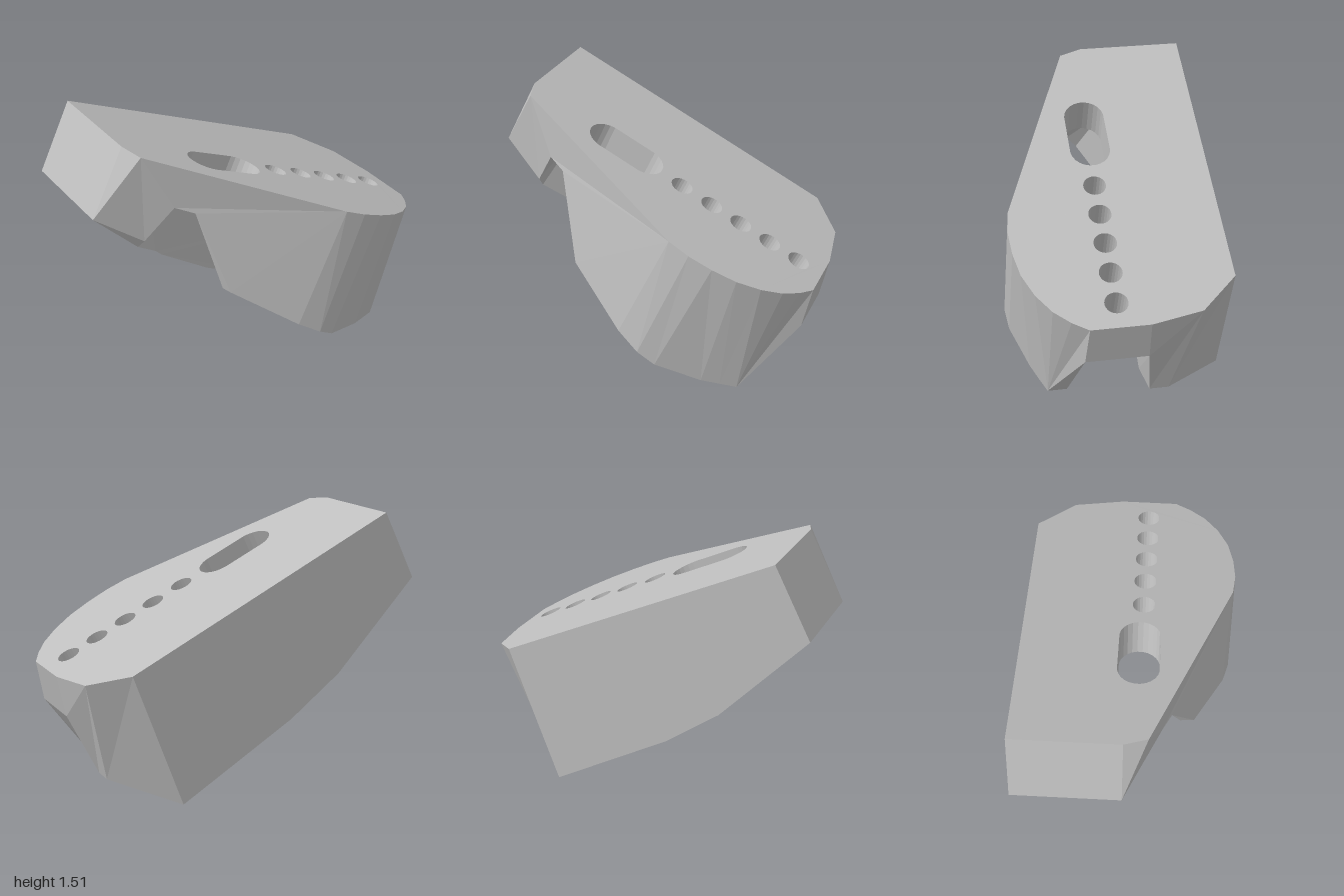
import * as THREE from 'three';

const V = (x, y, z) => new THREE.Vector3(x, y, z);
const BACK = -0.605, THICK = 0.235, SIN = 0.423, COS = 0.906;

// Points on the sloping deck and on the channel ceiling below it
const top = (x, z) => V(x, 1.51 - 0.467 * (x + 0.8), z);
const ceil = (x, z) => V(x, 1.25 - 0.467 * (x + 0.8), z);
const deckPoint = (s, z, d) => V(-0.8 + s * COS - d * SIN, 1.51 - s * SIN - d * COS, z);

// Collects flat faces; each face is turned to look along "out"
class Part {
  constructor() { this.pos = []; }

  face(pts, out, holes = []) {
    const n = V(0, 0, 0);
    pts.forEach((p, i) => n.add(p.clone().cross(pts[(i + 1) % pts.length])));
    n.normalize();
    const u = (Math.abs(n.y) > 0.9 ? V(1, 0, 0) : V(0, 1, 0)).cross(n).normalize();
    const v = n.clone().cross(u);
    const flat = (list) => list.map((p) => new THREE.Vector2(p.dot(u), p.dot(v)));
    const all = [pts, ...holes].flat();
    for (const [a, b, c] of THREE.ShapeUtils.triangulateShape(flat(pts), holes.map(flat))) {
      const A = all[a], B = all[b], C = all[c];
      const normal = B.clone().sub(A).cross(C.clone().sub(A));
      const order = normal.dot(out) < 0 ? [A, C, B] : [A, B, C];
      order.forEach((p) => this.pos.push(p.x, p.y, p.z));
    }
  }

  // Outer face that looks away from the middle of the body
  outer(...pts) {
    const mid = pts.reduce((m, p) => m.add(p), V(0, 0, 0)).divideScalar(pts.length);
    this.face(pts, mid.sub(V(0.1, 0.6, 0)));
  }

  // Wall of a hole between two rims, facing the axis
  bore(a, b) {
    const centre = [...a, ...b].reduce((m, p) => m.add(p), V(0, 0, 0)).divideScalar(a.length * 2);
    a.forEach((p, i) => {
      const j = (i + 1) % a.length;
      const mid = p.clone().add(a[j]).add(b[i]).add(b[j]).divideScalar(4);
      this.face([p, a[j], b[j], b[i]], centre.clone().sub(mid));
    });
  }

  mesh(name, material) {
    const g = new THREE.BufferGeometry();
    g.setAttribute('position', new THREE.Float32BufferAttribute(this.pos, 3));
    g.computeVertexNormals();
    const m = new THREE.Mesh(g, material);
    m.name = name;
    return m;
  }
}

// Rim of a round hole or slot, in the deck's own plane
function deckRim(s0, s1, z, r, d) {
  const n = 24, pts = [];
  for (let i = 0; i < n; i++) {
    const a = ((i + 0.5) / n) * Math.PI * 2;
    pts.push(deckPoint((Math.cos(a) > 0 ? s1 : s0) + r * Math.cos(a), z + r * Math.sin(a), d));
  }
  return pts;
}

export function createModel() {
  const grey = new THREE.MeshStandardMaterial({ color: 0xbebebe });
  grey.name = 'light grey';
  const UP = V(SIN, COS, 0), DOWN = V(-SIN, -COS, 0);

  // Shared corners
  const backLeft = top(-0.8, BACK), backRight = top(0.77, BACK);
  const slant = top(0.95, -0.39), endBack = top(1, -0.1), endFront = top(1, 0.23);
  const curve = [[0.95, 0.32], [0.88, 0.41], [0.78, 0.49], [0.66, 0.55], [0.53, 0.58],
    [0.4, 0.59], [0.28, 0.575]].map(([x, z]) => top(x, z));
  const noseFront = top(-0.76, 0.13), noseLeft = top(-0.8, 0);
  const ceilBack = ceil(0.95, -0.1), ceilFront = ceil(0.95, 0.25);
  const gapFront = ceil(-0.51, 0.25), gapLeft = ceil(-0.61, 0.2), ceilCorner = ceil(-0.6, -0.1);
  const lowLeftBack = V(-1, 1.12, BACK), lowLeft = V(-1, 1.12, 0);
  const heel = V(-0.75, 0.94, 0.1), heelLow = V(-0.76, 0.871, 0.04), channelLow = V(-0.55, 0.652, -0.14);
  const toeBack = V(0.48, 0.003, BACK), toeIn = V(0.48, 0.003, -0.14);
  const toeEnd = V(0.78, 0.08, -0.14), toeEndBack = V(0.78, 0.08, -0.25);

  // Deck with one slot and a row of five holes
  const deck = new Part();
  const holes = [[0.547, 0.79, 0.055, 0.117],
    ...[0.153, 0.335, 0.512, 0.688, 0.862].map((x) => [(x + 0.8) / COS, (x + 0.8) / COS, 0.067, 0.065])];
  const rims = holes.map((h) => deckRim(...h, 0));
  const lowRims = holes.map((h) => deckRim(...h, 0.26 * COS));
  deck.face([backLeft, backRight, slant, endBack, endFront, ...curve, noseFront, noseLeft], UP, rims);
  deck.face([ceilBack, ceilFront, gapFront, gapLeft, ceilCorner], DOWN, lowRims);
  rims.forEach((r, i) => deck.bore(r, lowRims[i]));
  deck.outer(endBack, endFront, ceilFront, ceilBack);

  // Front arm: curved outer wall lofted down to a tapered lower edge
  const front = new Part();
  const low = [[0.64, 0.03, 0.42], [0.64, 0.03, 0.42], [0.55, 0.055, 0.46], [0.45, 0.08, 0.5],
    [0.2, 0.18, 0.59], [0.1, 0.25, 0.605], [-0.03, 0.34, 0.57], [-0.38, 0.61, 0.39]].map((p) => V(...p));
  const inner = [[0.64, 0.03], [0.64, 0.03], [0.55, 0.035], [0.4, 0.08], [0.18, 0.17],
    [0.05, 0.25], [-0.1, 0.36], [-0.38, 0.59]].map(([x, y]) => V(x, y, 0.31));
  front.outer(endFront, ceilFront, low[0]);
  front.outer(endFront, curve[0], low[0]);
  front.outer(ceilFront, inner[0], low[0]);
  front.outer(curve[0], curve[1], low[1]);
  for (let i = 1; i < 6; i++) {
    front.outer(curve[i], curve[i + 1], low[i]);
    front.outer(curve[i + 1], low[i + 1], low[i]);
  }
  for (let i = 1; i < 7; i++) {
    front.face([low[i], low[i + 1], inner[i + 1]], DOWN);
    front.face([low[i], inner[i + 1], inner[i]], DOWN);
  }
  const shoulder = curve[6];
  front.outer(shoulder, noseFront, gapLeft);
  front.outer(shoulder, gapLeft, gapFront);
  front.outer(shoulder, gapFront, low[7]);
  front.outer(shoulder, low[7], low[6]);
  front.face([gapFront, low[7], inner[7]], V(-1, 0, 0));
  front.face([ceilFront, ...inner.slice(1), gapFront], V(0, 0, -1));

  // Rear arm: flat back, blunt left end, channel walls
  const rear = new Part();
  const profile = [[-0.2, 0.385], [-0.51, 0.61]];
  const [backA, backB] = profile.map(([x, y]) => V(x, y, BACK));
  const [inA, inB] = profile.map(([x, y]) => V(x, y, -0.14));
  rear.face([backLeft, backRight, toeBack, backA, backB, lowLeftBack], V(0, 0, -1));
  rear.face([noseLeft, backLeft, lowLeftBack, lowLeft], V(-1, 0, 0));
  rear.outer(noseLeft, noseFront, lowLeft);
  rear.face([noseFront, gapLeft, heel], V(-0.4, 0, 1));
  rear.face([noseFront, heel, lowLeft], V(-0.4, 0, 1));
  rear.outer(backRight, slant, toeEndBack);
  rear.outer(backRight, toeEndBack, toeBack);
  rear.outer(slant, toeEnd, toeEndBack);
  rear.outer(slant, ceilBack, toeEnd);
  rear.outer(slant, endBack, ceilBack);
  rear.face([ceilBack, toeEnd, toeIn, inA, inB, channelLow, ceilCorner], V(0, 0, 1));
  rear.face([ceilCorner, channelLow, heelLow], V(1, 0, 0));
  rear.face([ceilCorner, heelLow, heel], V(1, 0, 0));
  rear.face([ceilCorner, heel, gapLeft], V(1, 0, 0));

  // Underside strips with three blind round recesses
  const recess = (x, y, z, slope) => {
    const along = V(1, slope, 0).normalize(), inward = V(-along.y, along.x, 0);
    const ring = (d) => Array.from({ length: 24 }, (_, i) => {
      const a = (i / 24) * Math.PI * 2;
      return V(x, y, z).addScaledVector(along, 0.127 * Math.cos(a))
        .addScaledVector(inward, d).add(V(0, 0, 0.127 * Math.sin(a)));
    });
    const rim = ring(0), floor = ring(0.1);
    rear.bore(rim, floor);
    rear.face(floor, DOWN);
    return rim;
  };
  const onA = (x) => recess(x, 0.385 - 0.562 * (x + 0.2), -0.375, -0.562);
  rear.face([toeBack, toeIn, inA, backA], DOWN, [onA(0.355), onA(-0.05)]);
  rear.face([backA, inA, inB, backB], DOWN);
  rear.face([backB, inB, channelLow, heelLow, lowLeft, lowLeftBack], DOWN,
    [recess(-0.71, 1.12 - 1.041 * 0.29, -0.2, -1.041)]);
  rear.face([lowLeft, heelLow, heel], V(-0.3, -1, 0.5));
  rear.face([toeBack, toeIn, toeEnd, toeEndBack], V(0, -1, 0));

  const group = new THREE.Group();
  group.name = 'slotted bracket';
  group.add(deck.mesh('deck', grey), front.mesh('frontArm', grey), rear.mesh('rearArm', grey));
  return group;
}
